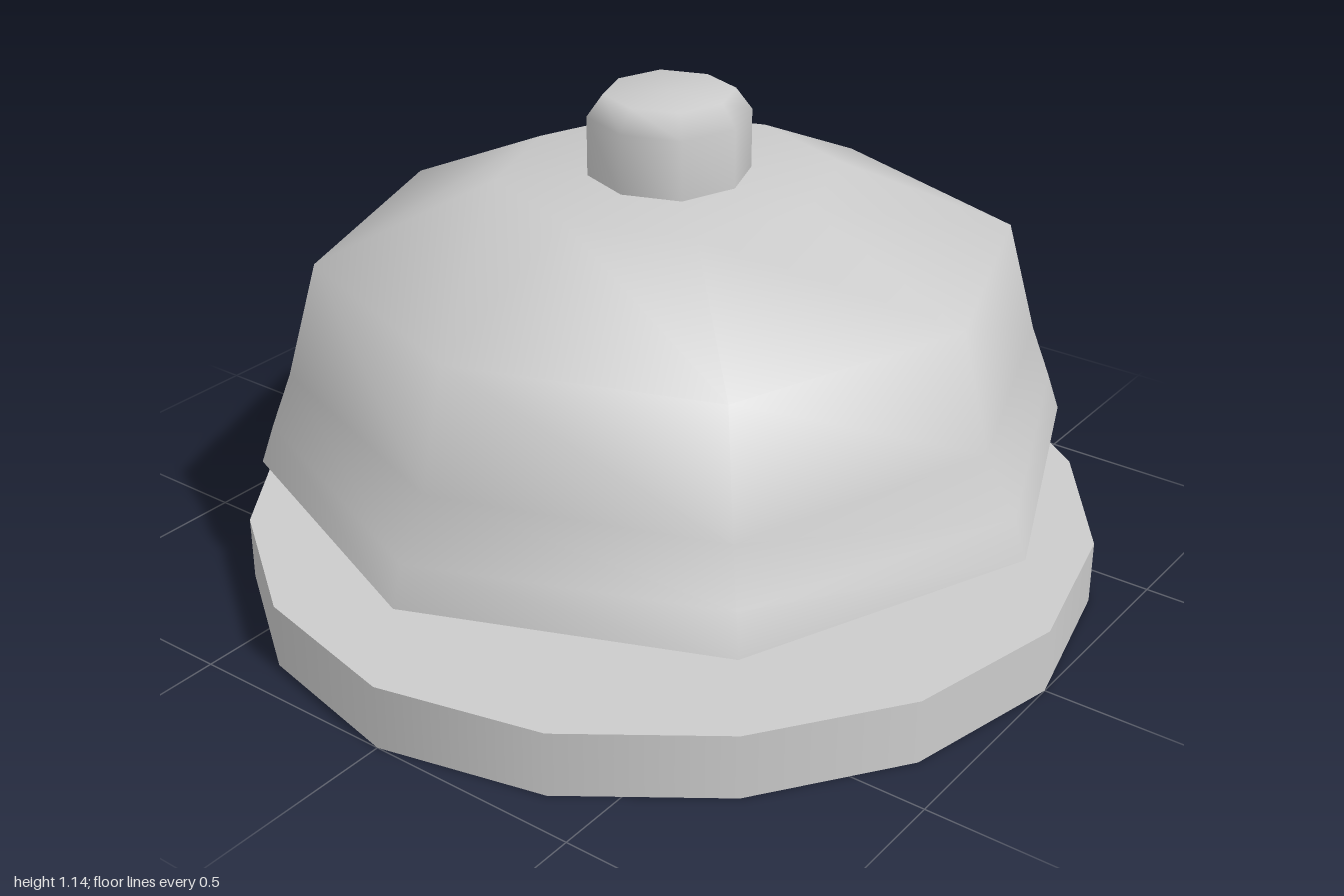
import * as THREE from 'three';

const material = new THREE.MeshStandardMaterial({ color: 0xcccccc });

// Revolved part; a repeated profile point makes a sharp edge.
// diagonal(y) gives the relative change of radius at 45 degrees.
function turned(name, profile, sides, diagonal = () => 0) {
  const points = profile.map(([r, y]) => new THREE.Vector2(r, y));
  const geometry = new THREE.LatheGeometry(points, sides);
  const p = geometry.attributes.position;
  for (let i = 0; i < p.count; i++) {
    const x = p.getX(i), y = p.getY(i), z = p.getZ(i);
    const s = Math.sin(2 * Math.atan2(x, z));
    const k = 1 + diagonal(y) * s * s;
    p.setXYZ(i, x * k, y, z * k);
  }
  const mesh = new THREE.Mesh(geometry, material);
  mesh.name = name;
  return mesh;
}

export function createModel() {
  const bell = new THREE.Group();
  bell.name = 'deskBell';

  // Foot plate with a shallow recess
  bell.add(turned('base', [
    [0, 0], [1, 0], [1, 0], [1, 0.15], [1, 0.15],
    [0.83, 0.15], [0.83, 0.15], [0.83, 0.13], [0.83, 0.13], [0, 0.13],
  ], 16, () => -0.024));

  // Short post carrying the dome
  bell.add(turned('pedestal', [[0.335, 0.12], [0.335, 0.32]], 8));

  // Flared dome with a closed underside
  bell.add(turned('dome', [
    [0, 0.3], [0.93, 0.3], [0.93, 0.3], [0.9, 0.39], [0.825, 0.515],
    [0.755, 0.78], [0.37, 0.955], [0, 0.955],
  ], 8, (y) => (y > 0.45 ? 0.04 : 0.005)));

  // Push button with a chamfered top
  bell.add(turned('button', [
    [0.175, 0.94], [0.175, 1.09], [0.14, 1.14], [0, 1.14],
  ], 8, () => 0.04));

  return bell;
}
